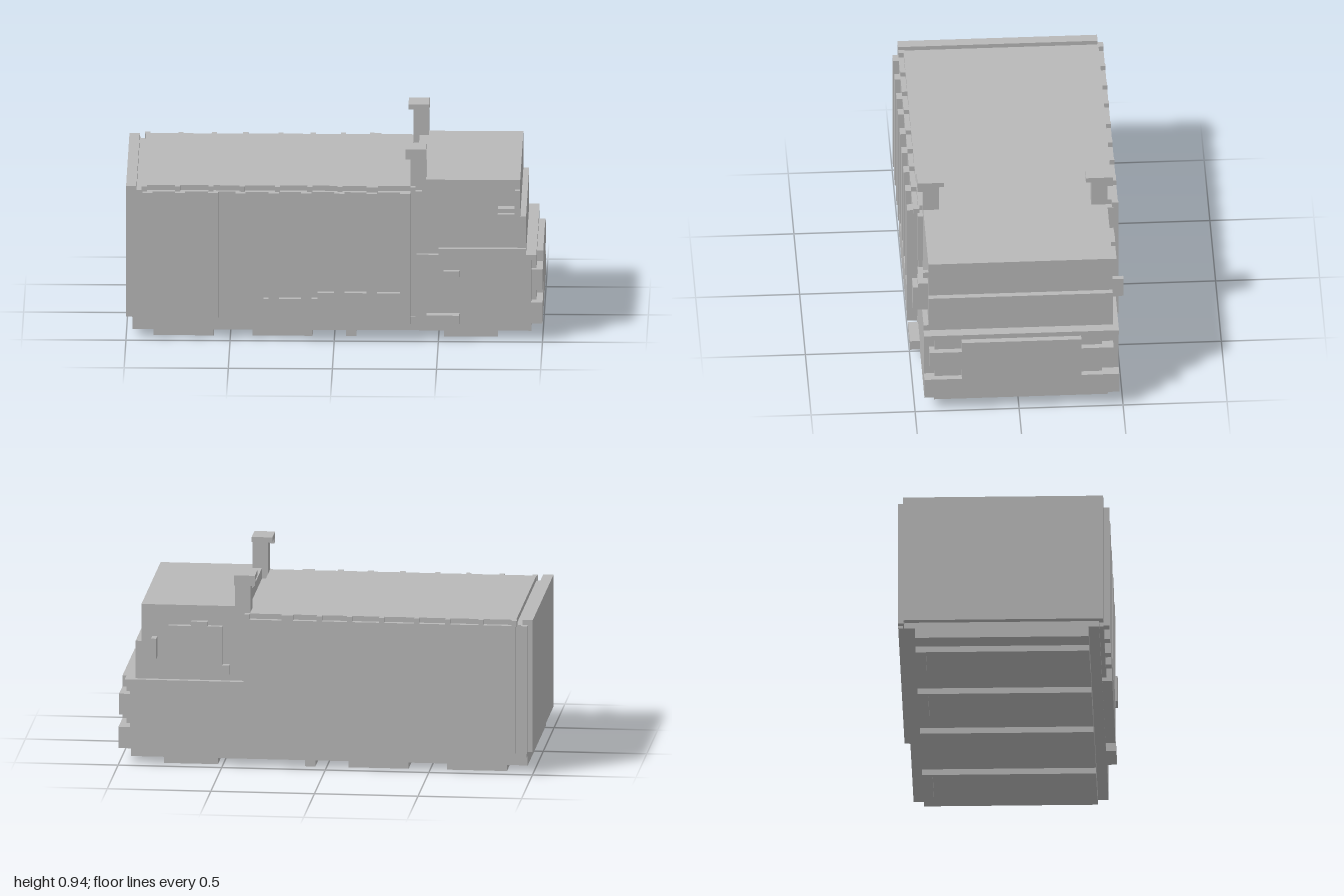
import * as THREE from 'three';

export function createModel() {
  const model = new THREE.Group();
  model.name = 'boxTruck';
  const grey = new THREE.MeshStandardMaterial({ color: 0xb8b8b8 });
  grey.name = 'plain grey';

  // Box given by its extents on each axis
  const box = (name, x0, x1, y0, y1, z0, z1) => {
    const mesh = new THREE.Mesh(new THREE.BoxGeometry(x1 - x0, y1 - y0, z1 - z0), grey);
    mesh.position.set((x0 + x1) / 2, (y0 + y1) / 2, (z0 + z1) / 2);
    mesh.name = name;
    model.add(mesh);
    return mesh;
  };

  // Chassis and base skirt
  box('chassis', -0.97, 0.945, 0.03, 0.085, -0.43, 0.405);
  box('skirt', -0.97, 0.945, 0.08, 0.11, -0.482, 0.455);

  // Underside runners with cross ribs
  for (const [x0, x1] of [[-0.87, -0.58], [-0.395, -0.105], [0.525, 0.785]]) {
    box('runnerFront', x0, x1, 0, 0.035, 0.355, 0.405);
    box('runnerBack', x0, x1, 0, 0.035, -0.43, -0.38);
    box('crossRib', x0, x0 + 0.025, 0, 0.035, -0.39, 0.365);
  }
  box('middleRib', 0.055, 0.105, 0, 0.035, -0.43, 0.405);

  // Cargo body
  box('cargoCore', -0.96, 0.395, 0.105, 0.735, -0.487, 0.45);
  box('cargoFrontWall', -0.92, 0.365, 0.105, 0.735, 0.44, 0.475);
  box('cargoBackWall', -0.92, 0.39, 0.105, 0.735, -0.511, -0.48);
  box('cornerPost', -0.975, -0.945, 0.105, 0.735, -0.511, -0.48);
  box('cargoRoof', -0.92, 0.365, 0.73, 0.76, -0.487, 0.45);
  box('endPlate', -1, -0.95, 0.11, 0.76, -0.485, 0.475);

  // Roof tabs along both edges
  for (const x of [-0.925, -0.765, -0.605, -0.455, -0.285, -0.13, 0.015, 0.155, 0.365]) {
    const w = x === 0.155 ? 0.055 : 0.025;
    box('roofTabFront', x, x + w, 0.73, 0.76, 0.445, 0.475);
    box('roofTabBack', x, x + w, 0.73, 0.76, -0.511, -0.48);
  }

  // Upright ribs on the front wall
  for (const x of [-0.92, -0.765, -0.605, -0.475])
    box('wallRib', x, x + 0.048, 0.11, 0.735, 0.47, 0.503);
  for (const x of [-0.315, -0.16, 0, 0.155, 0.315])
    box('panelRib', x, x + 0.05, 0.2, 0.735, 0.47, 0.503);
  box('lowerPanel', -0.34, -0.08, 0.085, 0.21, 0.45, 0.503);
  box('lowerPanel', -0.08, 0.365, 0.085, 0.24, 0.45, 0.503);

  // Cab
  box('cabUpper', 0.395, 0.892, 0.4, 0.787, -0.455, 0.43);
  box('cabFrontStep', 0.85, 0.92, 0.4, 0.605, -0.455, 0.43);
  box('cabLower', 0.39, 0.945, 0.09, 0.42, -0.482, 0.455);
  box('cabSideLedge', 0.5, 0.92, 0.42, 0.45, 0.42, 0.455);
  box('cabPost', 0.39, 0.42, 0.475, 0.735, 0.42, 0.455);
  box('cornerLip', 0.868, 0.892, 0.71, 0.74, 0.42, 0.455);

  // Nose, bumper and corner lamps
  box('noseTop', 0.94, 0.97, 0.395, 0.42, -0.482, 0.455);
  box('noseBack', 0.94, 0.97, 0.18, 0.4, -0.4, 0.405);
  box('noseCentre', 0.94, 1, 0.18, 0.395, -0.3, 0.275);
  box('bumper', 0.94, 1, 0.08, 0.185, -0.482, 0.455);
  box('lampLeft', 0.94, 1, 0.24, 0.342, 0.27, 0.43);
  box('lampRight', 0.94, 1, 0.24, 0.342, -0.455, -0.295);

  // Exhaust stacks with overhanging caps
  for (const [stem0, stem1, cap0, cap1, lip0, lip1] of [
    [0.355, 0.43, 0.33, 0.457, 0.42, 0.457], [-0.455, -0.378, -0.482, -0.352, -0.482, -0.445]]) {
    box('stack', 0.365, 0.44, 0.7, 0.93, stem0, stem1);
    box('stackCap', 0.342, 0.442, 0.92, 0.945, cap0, cap1);
    box('stackLip', 0.342, 0.442, 0.895, 0.925, lip0, lip1);
  }

  // Front-side fittings
  box('mirrorFront', 0.785, 0.865, 0.505, 0.635, 0.42, 0.503);
  box('mirrorTop', 0.785, 0.865, 0.63, 0.657, 0.42, 0.478);
  box('doorHandle', 0.525, 0.6, 0.315, 0.345, 0.45, 0.48);
  box('footStep', 0.442, 0.6, 0.08, 0.13, 0.4, 0.503);

  // Back-side fittings
  box('doorPanel', 0.5, 0.76, 0.47, 0.69, -0.482, -0.45);
  box('doorTopTab', 0.57, 0.65, 0.68, 0.712, -0.482, -0.45);
  box('doorHinge', 0.465, 0.51, 0.45, 0.5, -0.482, -0.45);
  box('mirrorBack', 0.815, 0.84, 0.53, 0.63, -0.511, -0.45);

  return model;
}
